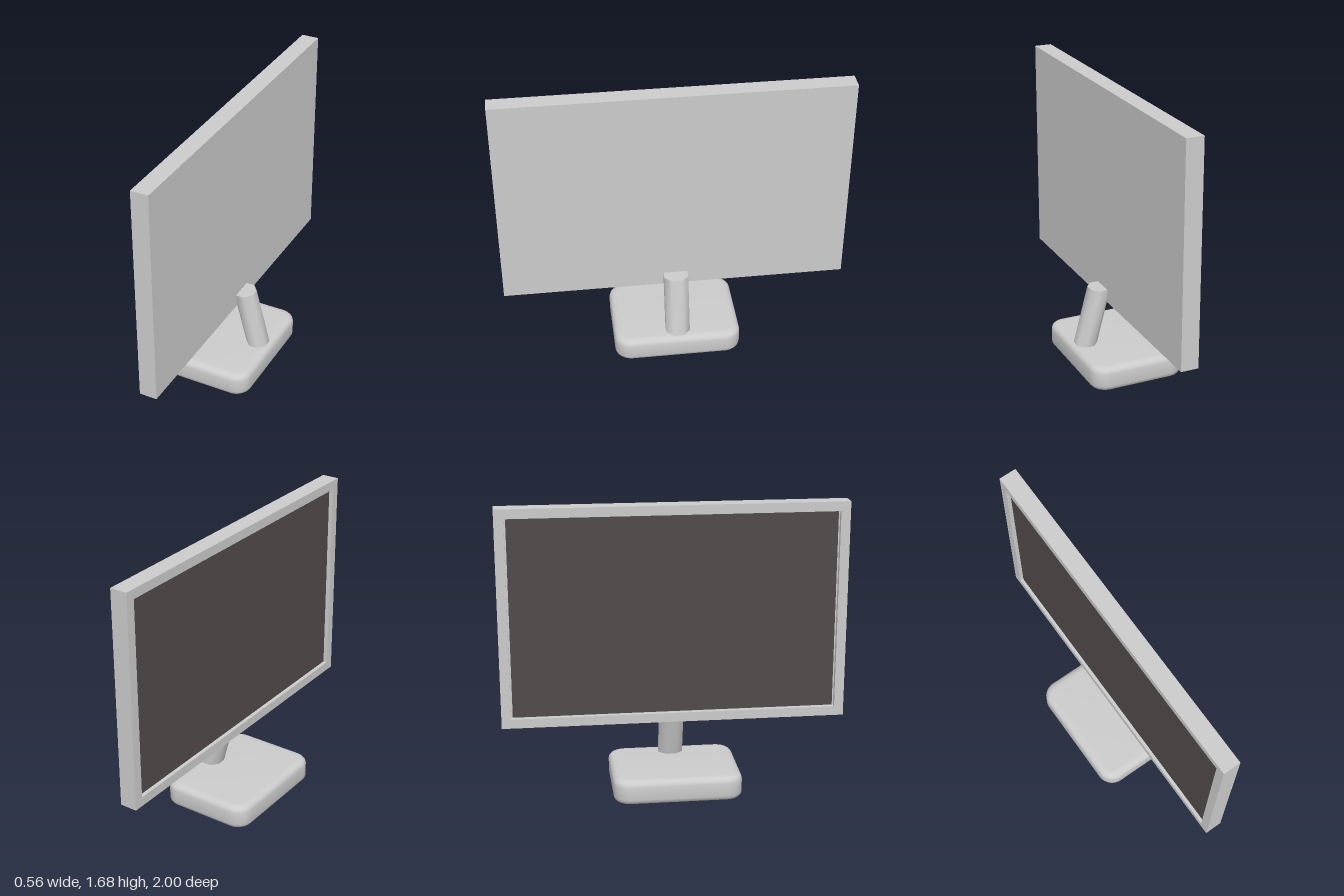
import * as THREE from 'three';
import { mergeVertices, toCreasedNormals } from 'three/addons/utils/BufferGeometryUtils.js';

const grey = new THREE.MeshStandardMaterial({ color: 0xcccccc });
const dark = new THREE.MeshStandardMaterial({ color: 0x524a4b });

function addMesh(parent, name, geometry, material = grey) {
  const mesh = new THREE.Mesh(geometry, material);
  mesh.name = name;
  parent.add(mesh);
  return mesh;
}

// Closed rectangle centred on the origin, corner radius r
function rectangle(w, h, r = 0, Type = THREE.Shape) {
  const x = w / 2, y = h / 2, s = new Type();
  if (!r) {
    s.setFromPoints([[-x, -y], [x, -y], [x, y], [-x, y]].map(([a, b]) => new THREE.Vector2(a, b)));
    s.closePath();
    return s;
  }
  [[x - r, -y + r, -0.5], [x - r, y - r, 0], [-x + r, y - r, 0.5], [-x + r, -y + r, 1]].forEach(([cx, cy, a]) =>
    s.absarc(cx, cy, r, a * Math.PI, (a + 0.5) * Math.PI, false));
  s.closePath();
  return s;
}

// Soft-edged slab foot
function createBase() {
  const bevel = 0.035, inset = 0.045;
  const geometry = new THREE.ExtrudeGeometry(rectangle(0.565 - 2 * inset, 0.745 - 2 * inset, 0.05), {
    depth: 0.147 - 2 * bevel, bevelThickness: bevel, bevelSize: inset, bevelSegments: 4, curveSegments: 4,
  });
  geometry.rotateX(-Math.PI / 2).translate(-0.002, bevel + 0.004, -0.002);
  return toCreasedNormals(geometry, 0.9);
}

// Leaning eight-sided post, its ends cut level
function createNeck() {
  const bottom = 0.12, top = 0.492, lean = -0.262;
  const geometry = new THREE.CylinderGeometry(1, 1, top - bottom, 8, 1);
  geometry.rotateY(Math.PI / 8).scale(0.067, 1, 0.076).translate(0, (top + bottom) / 2, -0.004);
  const p = geometry.attributes.position;
  for (let i = 0; i < p.count; i++) p.setX(i, p.getX(i) + 0.098 + (p.getY(i) - top) * lean);
  geometry.deleteAttribute('uv');
  geometry.deleteAttribute('normal');
  return toCreasedNormals(mergeVertices(geometry), 1.0);
}

export function createModel() {
  const model = new THREE.Group();
  model.name = 'monitor';
  addMesh(model, 'base', createBase());
  addMesh(model, 'neck', createNeck());

  // Display panel, its screen facing -x
  const panel = new THREE.Group();
  panel.name = 'panel';
  panel.position.y = 1.05;
  model.add(panel);
  const width = 2, height = 1.276, rim = 0.055, front = -0.028, back = 0.074, recess = 0.018;

  const outline = rectangle(width, height);
  outline.holes.push(rectangle(width - 2 * rim, height - 2 * rim, 0, THREE.Path));
  const bezel = new THREE.ExtrudeGeometry(outline, { depth: recess + 0.01, bevelEnabled: false });
  addMesh(panel, 'bezel', bezel.rotateY(Math.PI / 2).translate(front, 0, 0));

  const shellFront = front + recess + 0.01;
  const shell = addMesh(panel, 'backShell', new THREE.BoxGeometry(back - shellFront, height, width));
  shell.position.x = (back + shellFront) / 2;

  const screen = addMesh(panel, 'screen',
    new THREE.BoxGeometry(0.01, height - 2 * rim - 0.01, width - 2 * rim - 0.02), dark);
  screen.position.x = front + recess + 0.005;
  return model;
}
